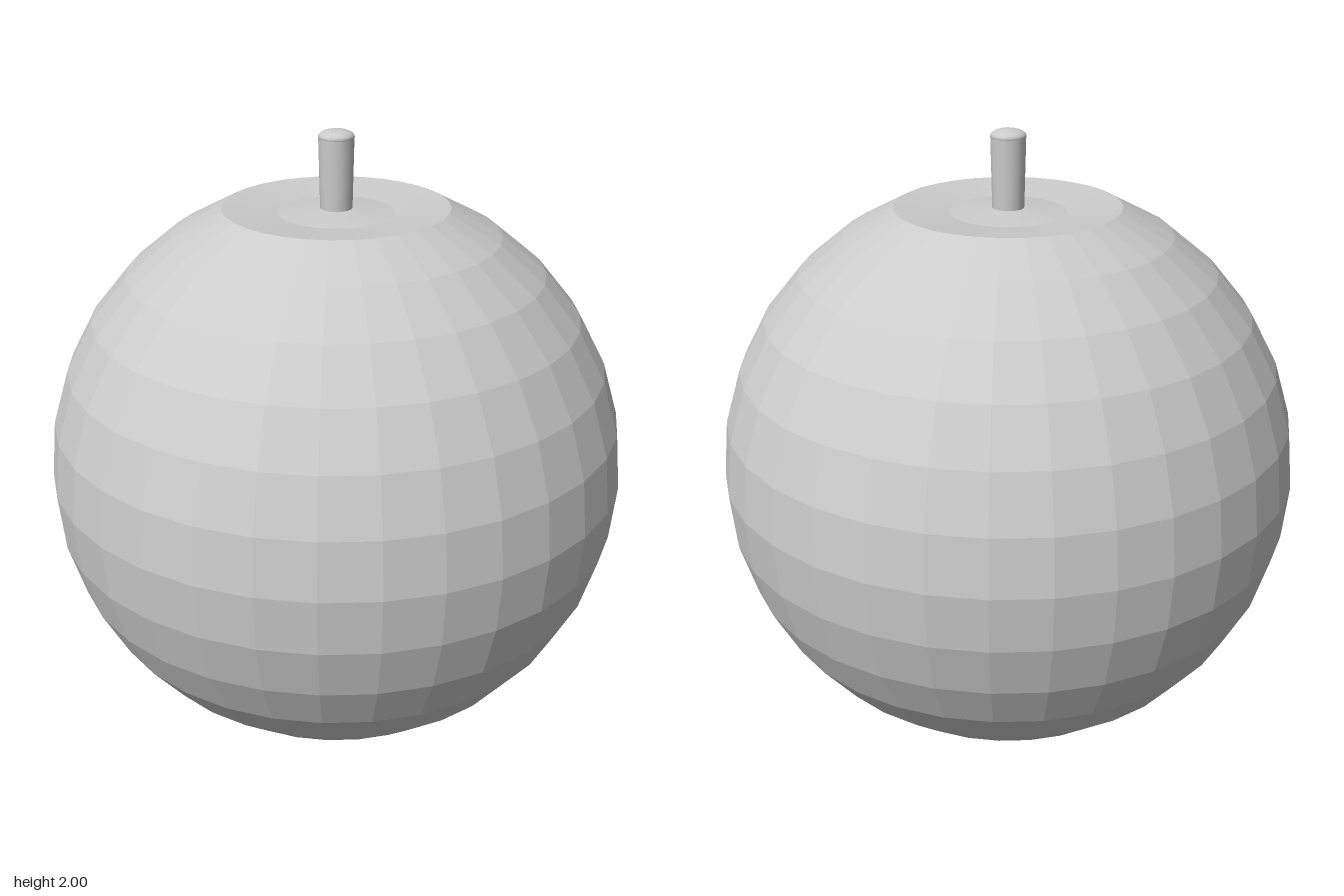
import * as THREE from 'three';

const RADIUS = 0.94, CENTRE = 0.89, RINGS = 16, SIDES = 32;

export function createModel() {
  const group = new THREE.Group();
  const add = (name, geometry, flatShading) => {
    const mesh = new THREE.Mesh(
      geometry, new THREE.MeshStandardMaterial({ color: 0xcccccc, flatShading }));
    mesh.name = name;
    group.add(mesh);
    return mesh;
  };

  // Faceted round body, its poles pressed in: a flat base and a shallow top dimple
  const profile = [];
  for (let i = 0; i <= RINGS; i++) {
    const a = (i / RINGS) * Math.PI;
    let y = CENTRE - RADIUS * Math.cos(a);
    if (i < 2) y += 0.052;
    if (i > RINGS - 2) y -= 0.072;
    profile.push(new THREE.Vector2(RADIUS * Math.abs(Math.sin(a)), y));
  }
  profile[0].x = profile[RINGS].x = 0;
  add('body', new THREE.LatheGeometry(profile, SIDES), true);

  // Stem, slightly wider at its top
  const stem = add('stem', new THREE.CylinderGeometry(0.056, 0.05, 0.26, 16), false);
  stem.position.y = 1.85;

  // Flattened dome closing the stem
  const cap = add('stemCap', new THREE.SphereGeometry(0.057, 16, 12), false);
  cap.scale.y = 0.4;
  cap.position.y = 1.977;

  return group;
}
